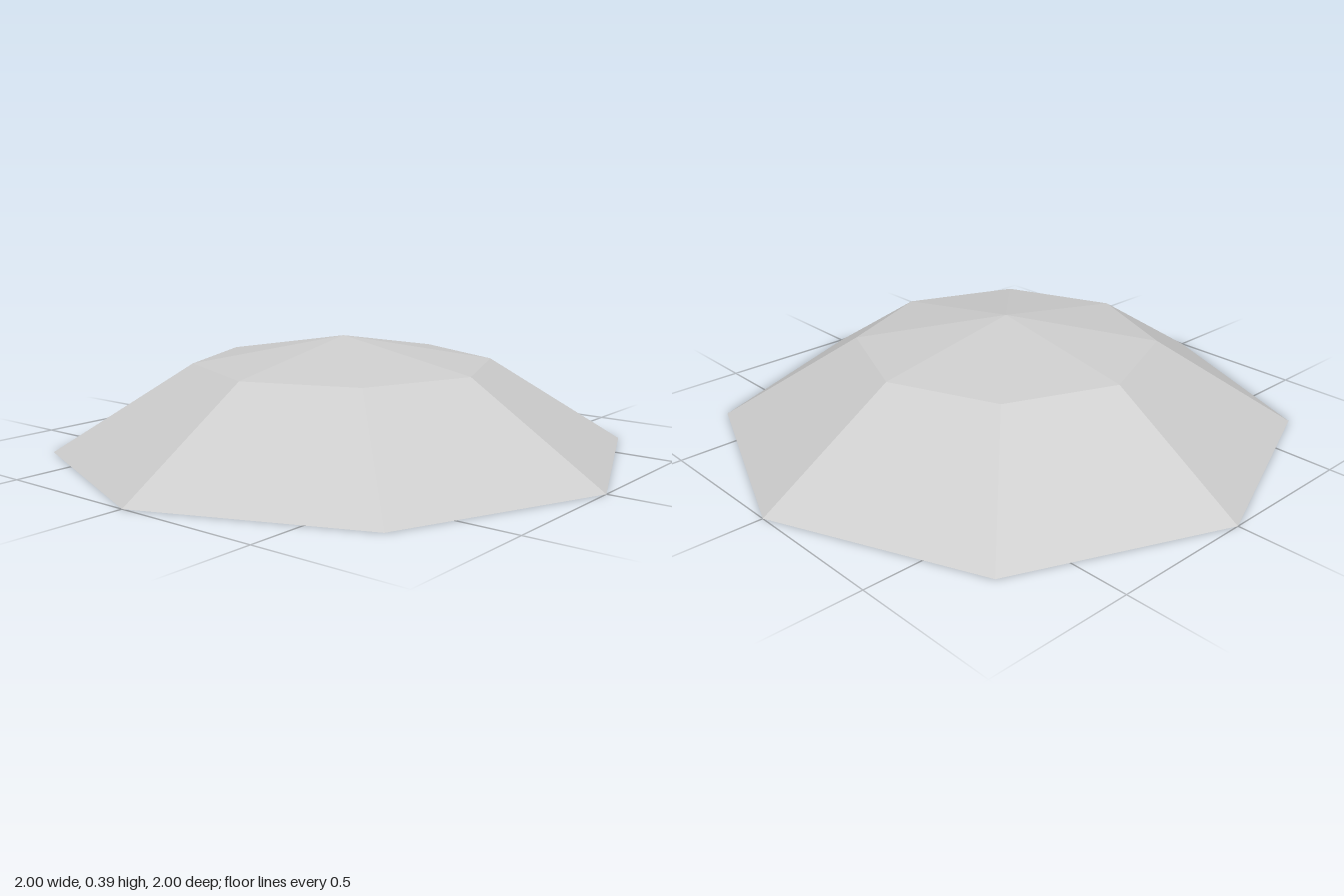
import * as THREE from 'three';

export function createModel() {
  const group = new THREE.Group();
  group.name = 'facetedDome';

  const lightGrey = new THREE.MeshStandardMaterial({ color: 0xcccccc, flatShading: true, side: THREE.DoubleSide });
  lightGrey.name = 'lightGrey';

  // Open eight-sided shell: rim, shoulder ring, apex
  const profile = [[1, 0], [0.52, 0.3], [0, 0.39]].map(([r, y]) => new THREE.Vector2(r, y));
  const canopy = new THREE.Mesh(new THREE.LatheGeometry(profile, 8), lightGrey);
  canopy.name = 'canopy';
  group.add(canopy);

  return group;
}
